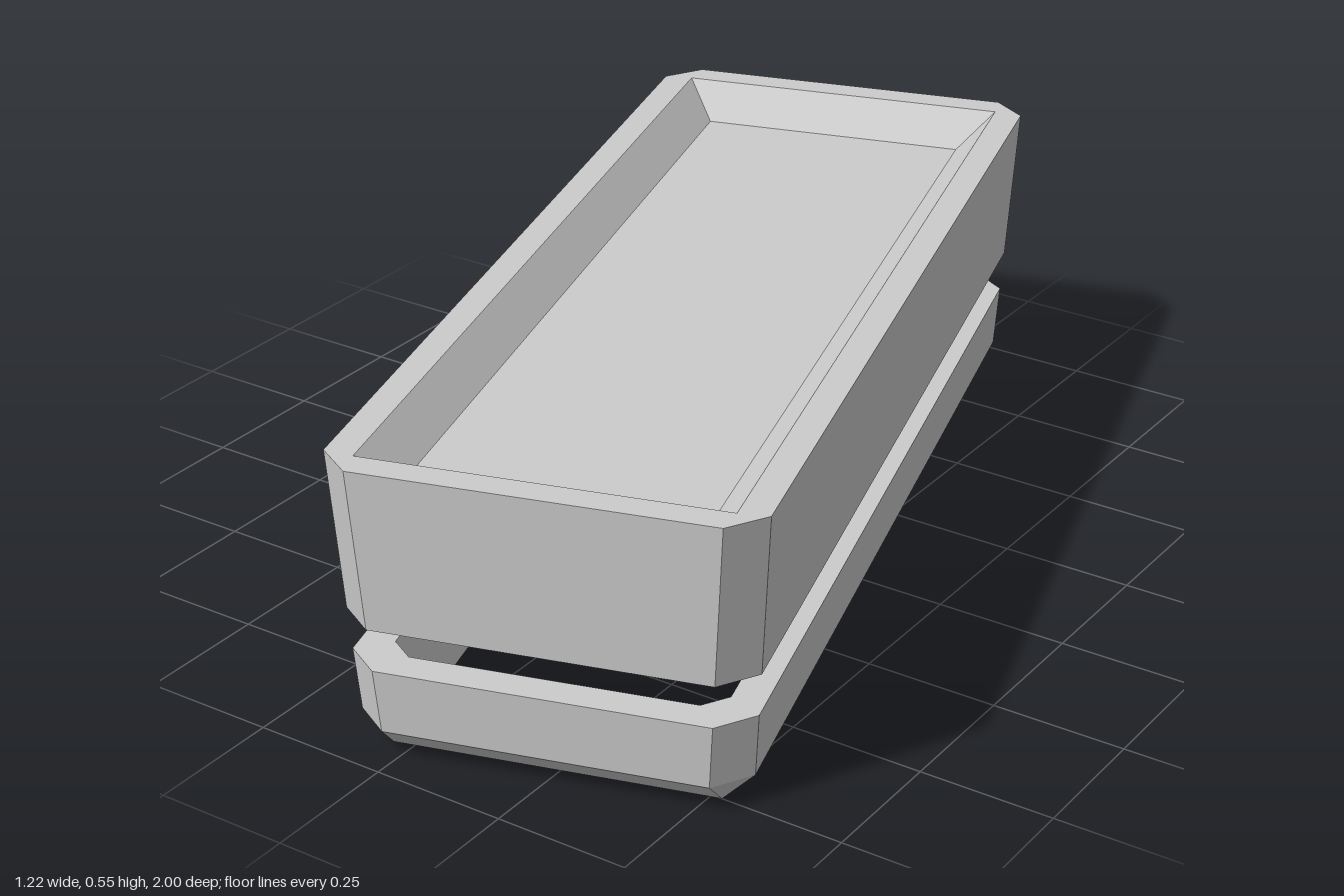
import * as THREE from 'three';

const material = new THREE.MeshStandardMaterial({ color: 0xcccccc, flatShading: true, side: THREE.DoubleSide });

// Rectangle with cut corners: half width w, half length l, corner cut c, height y
function section([w, l, c, y]) {
  const quarter = [[w, l - c], [w - c, l], [c - w, l], [-w, l - c]];
  return [...quarter, ...quarter.map(([x, z]) => [-x, -z])]
    .map(([x, z]) => new THREE.Vector3(x, y, z));
}

// Skin a run of sections; either cap both ends or close the run on itself
function loft(profile, closed) {
  const loops = profile.map(section);
  const n = loops[0].length;
  const points = [];
  const tri = (a, b, c) => {
    const area = new THREE.Triangle(a, b, c).getArea();
    if (area > 1e-7) points.push(a, b, c);
  };
  const bands = closed ? loops.length : loops.length - 1;
  for (let k = 0; k < bands; k++) {
    const low = loops[k], high = loops[(k + 1) % loops.length];
    for (let i = 0; i < n; i++) {
      const j = (i + 1) % n;
      tri(low[i], high[i], low[j]);
      tri(low[j], high[i], high[j]);
    }
  }
  if (!closed) {
    const first = loops[0], last = loops[loops.length - 1];
    for (let i = 1; i < n - 1; i++) {
      tri(first[0], first[i], first[i + 1]);
      tri(last[0], last[i + 1], last[i]);
    }
  }
  const geometry = new THREE.BufferGeometry().setFromPoints(points);
  geometry.computeVertexNormals();
  return geometry;
}

function part(name, profile, closed) {
  const mesh = new THREE.Mesh(loft(profile, closed), material);
  mesh.name = name;
  return mesh;
}

export function createModel() {
  const model = new THREE.Group();
  model.name = 'twoPartCase';

  // Upper shell: hollow underside, tapered walls, sunken tray on top
  const upperShell = part('upperShell', [
    [0.3, 0.876, 0.045, 0.46],
    [0.298, 0.874, 0.045, 0.255],
    [0.359, 0.934, 0.06, 0.255],
    [0.377, 0.949, 0.06, 0.553],
    [0.323, 0.895, 0, 0.553],
    [0.26, 0.825, 0, 0.49],
  ], false);

  // Lower frame: open ring with a chamfered foot running to sharp corners
  const lowerFrame = part('lowerFrame', [
    [0.294, 0.869, 0.04, 0.175],
    [0.283, 0.858, 0, 0],
    [0.29, 0.865, 0, 0],
    [0.346, 0.922, 0.06, 0.055],
    [0.354, 0.93, 0.06, 0.175],
  ], true);

  model.add(upperShell, lowerFrame);

  // The whole case sits turned on its vertical axis
  for (const mesh of model.children) mesh.rotation.y = 0.283;
  return model;
}
